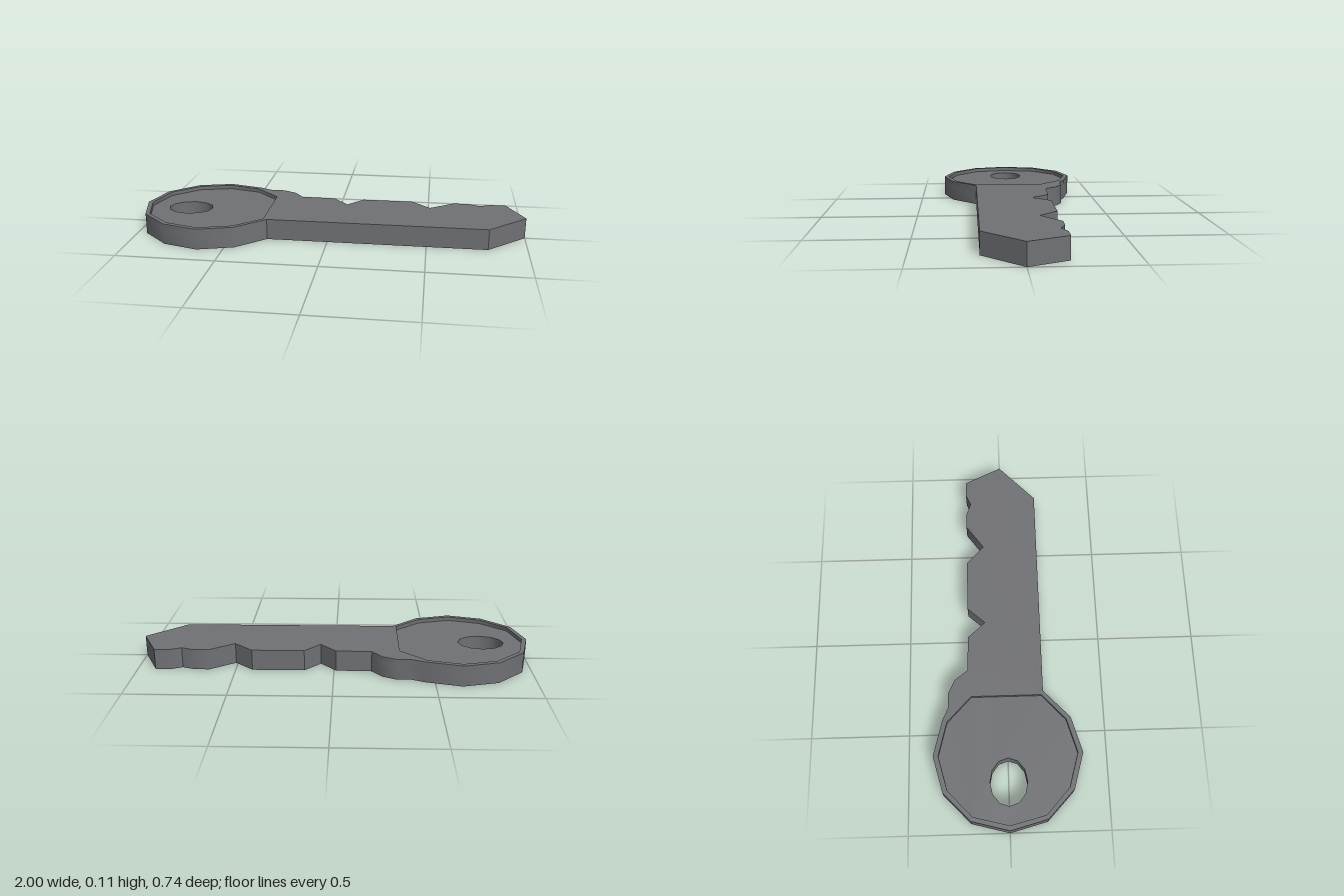
import * as THREE from 'three';
import { toCreasedNormals } from 'three/addons/utils/BufferGeometryUtils.js';

const HEIGHT = 0.107, RECESS = 0.02;

// Plan outlines as [x, z], all wound the same way
const outline = [
  // bow, back half
  [-1, 0], [-0.95, -0.19], [-0.81, -0.325], [-0.63, -0.372], [-0.45, -0.325],
  // shoulder
  [-0.385, -0.295], [-0.31, -0.295], [-0.24, -0.26], [-0.19, -0.195],
  // teeth
  [-0.01, -0.19], [0.07, -0.1], [0.15, -0.19], [0.415, -0.19], [0.51, -0.1], [0.635, -0.19],
  [0.71, -0.19], [0.775, -0.165], [0.83, -0.19], [0.91, -0.19],
  // tip and straight edge
  [1, 0], [0.805, 0.187], [-0.31, 0.187],
  // bow, front half
  [-0.45, 0.32], [-0.63, 0.372], [-0.81, 0.32], [-0.95, 0.187],
];
const panel = [
  [-0.975, 0], [-0.93, -0.18], [-0.8, -0.302], [-0.63, -0.346], [-0.46, -0.302], [-0.33, -0.178],
  [-0.33, 0.178], [-0.46, 0.297], [-0.63, 0.346], [-0.8, 0.297], [-0.93, 0.178],
];
const ringHole = Array.from({ length: 12 }, (_, i) => {
  const a = (i / 12) * Math.PI * 2;
  return [-0.763 + 0.118 * Math.cos(a), 0.093 * Math.sin(a)];
});

const toPoints = (pts) => pts.map(([x, z]) => new THREE.Vector2(x, -z));

// Flat plate with one hole, lying on y = base; the hole winds against the outline
function plate(name, hole, base, depth, material) {
  const shape = new THREE.Shape(toPoints(outline));
  shape.holes.push(new THREE.Path(toPoints(hole).reverse()));
  const geo = new THREE.ExtrudeGeometry(shape, { depth, bevelEnabled: false });
  geo.rotateX(-Math.PI / 2).translate(0, base, 0);
  const mesh = new THREE.Mesh(toCreasedNormals(geo, 0.7), material);
  mesh.name = name;
  return mesh;
}

export function createModel() {
  const steel = new THREE.MeshStandardMaterial({ name: 'dark steel', color: 0x707175 });
  const key = new THREE.Group();
  key.name = 'key';
  key.add(
    // body with the key-ring hole; its top forms the recessed bow panel
    plate('keyBody', ringHole, 0, HEIGHT - RECESS, steel),
    // top layer: raised bow rim and blade face
    plate('rimAndBladeTop', panel, HEIGHT - RECESS, RECESS, steel),
  );
  return key;
}
